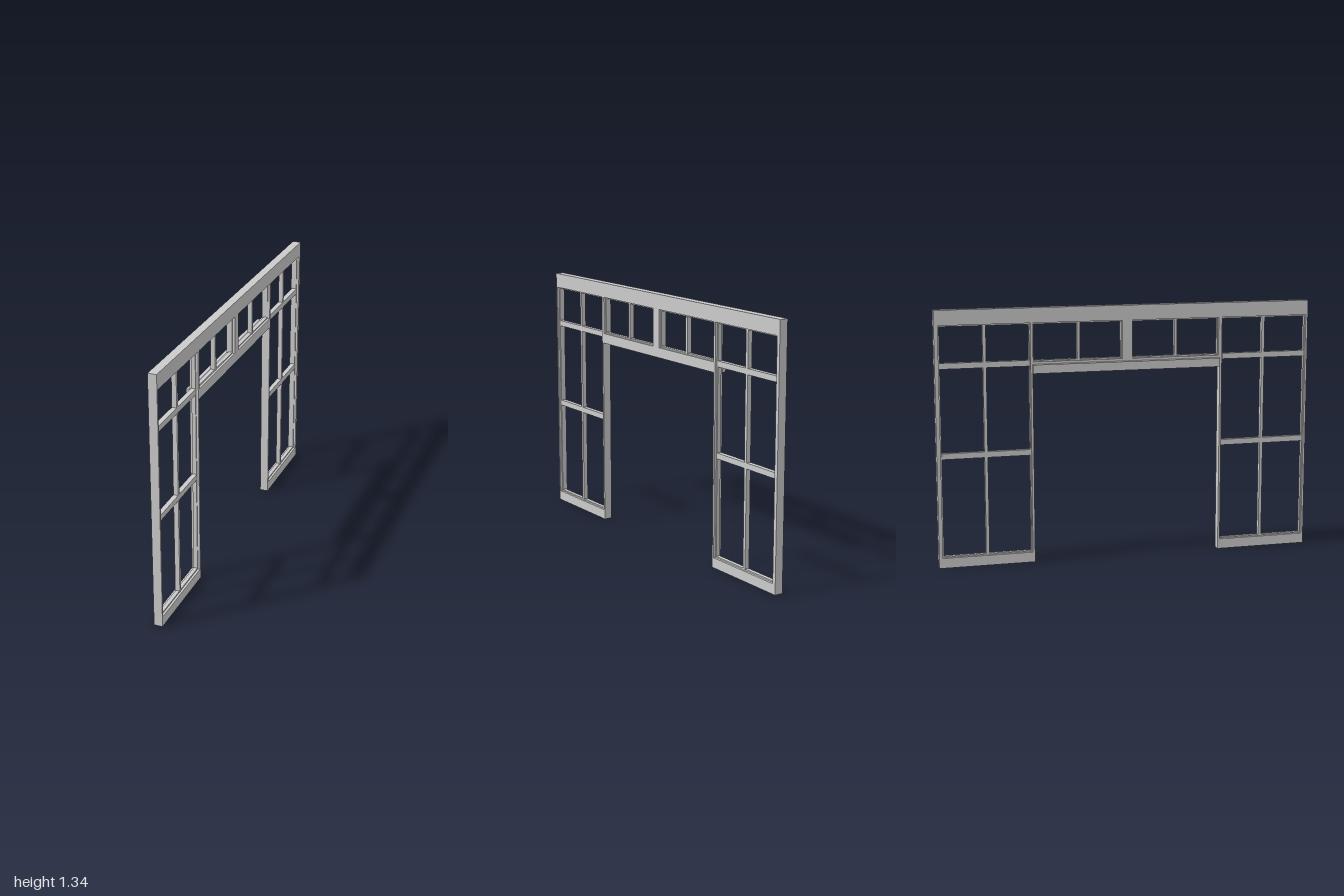
import * as THREE from 'three';

const material = new THREE.MeshStandardMaterial({ color: 0xcccccc, flatShading: true });
const FULL = [-0.01, 0.035];   // depth of the main frame members
const BAR = [0.0, 0.025];      // depth of the glazing bars
const BEAD = [0.002, 0.023];   // depth of the recessed beads
const BEAD_W = 0.007;

export function createModel() {
  const model = new THREE.Group();

  const bar = (name, z0, z1, y0, y1, [x0, x1] = FULL, parent = model) => {
    const mesh = new THREE.Mesh(new THREE.BoxGeometry(x1 - x0, y1 - y0, z1 - z0), material);
    mesh.position.set((x0 + x1) / 2, (y0 + y1) / 2, (z0 + z1) / 2);
    mesh.name = name;
    parent.add(mesh);
  };

  // Recessed bead running round the inside of a glazed opening
  const beads = (name, z0, z1, y0, y1) => {
    const group = new THREE.Group();
    group.name = name;
    const w = BEAD_W;
    bar('lowerBead', z0 - w, z1 + w, y0 - w, y0, BEAD, group);
    bar('upperBead', z0 - w, z1 + w, y1, y1 + w, BEAD, group);
    bar('rearBead', z0 - w, z0, y0, y1, BEAD, group);
    bar('frontBead', z1, z1 + w, y0, y1, BEAD, group);
    model.add(group);
  };

  // Header and the rail over the doorway
  bar('header', -1, 1, 1.257, 1.335);
  bar('doorwayRail', -0.5, 0.51, 1.005, 1.058);
  bar('centrePost', -0.025, 0.029, 1.05, 1.26);
  bar('doorwayLedge', -0.5, 0.5, 1.0, 1.045, [-0.037, -0.01]);

  // Side lights: outer stile, jamb, bottom rail, vertical and horizontal bars
  const sides = [
    { z0: 0.508, z1: 1, open: [0.525, 0.983], mullion: [0.744, 0.76], jamb: [0.508, 0.519], stile: [0.989, 1] },
    { z0: -1, z1: -0.497, open: [-0.973, -0.515], mullion: [-0.753, -0.736], jamb: [-0.509, -0.497], stile: [-1, -0.98] },
  ];
  for (const s of sides) {
    bar('outerStile', ...s.stile, 0, 1.26);
    bar('jamb', ...s.jamb, 0, 1.26);
    bar('bottomRail', s.z0, s.z1, 0, 0.053);
    bar('sideMullion', ...s.mullion, 0.05, 1.26, BAR);
    bar('middleBar', ...s.open, 0.57, 0.6, BAR);
    bar('transomBar', ...s.open, 1.035, 1.065, BAR);
    beads('sideLightBeads', ...s.open, 0.06, 1.25);
  }

  // Transom lights over the doorway, each split by one bar
  const transoms = [
    { open: [0.035, 0.495], mullion: [0.259, 0.274] },
    { open: [-0.49, -0.03], mullion: [-0.263, -0.247] },
  ];
  for (const t of transoms) {
    bar('transomMullion', ...t.mullion, 1.055, 1.26, BAR);
    beads('transomBeads', ...t.open, 1.065, 1.25);
  }
  // Upper jamb thickening beside the transom lights
  bar('upperJamb', 0.5, 0.51, 1.05, 1.26);
  bar('upperJamb', -0.5, -0.495, 1.05, 1.26);

  return model;
}
